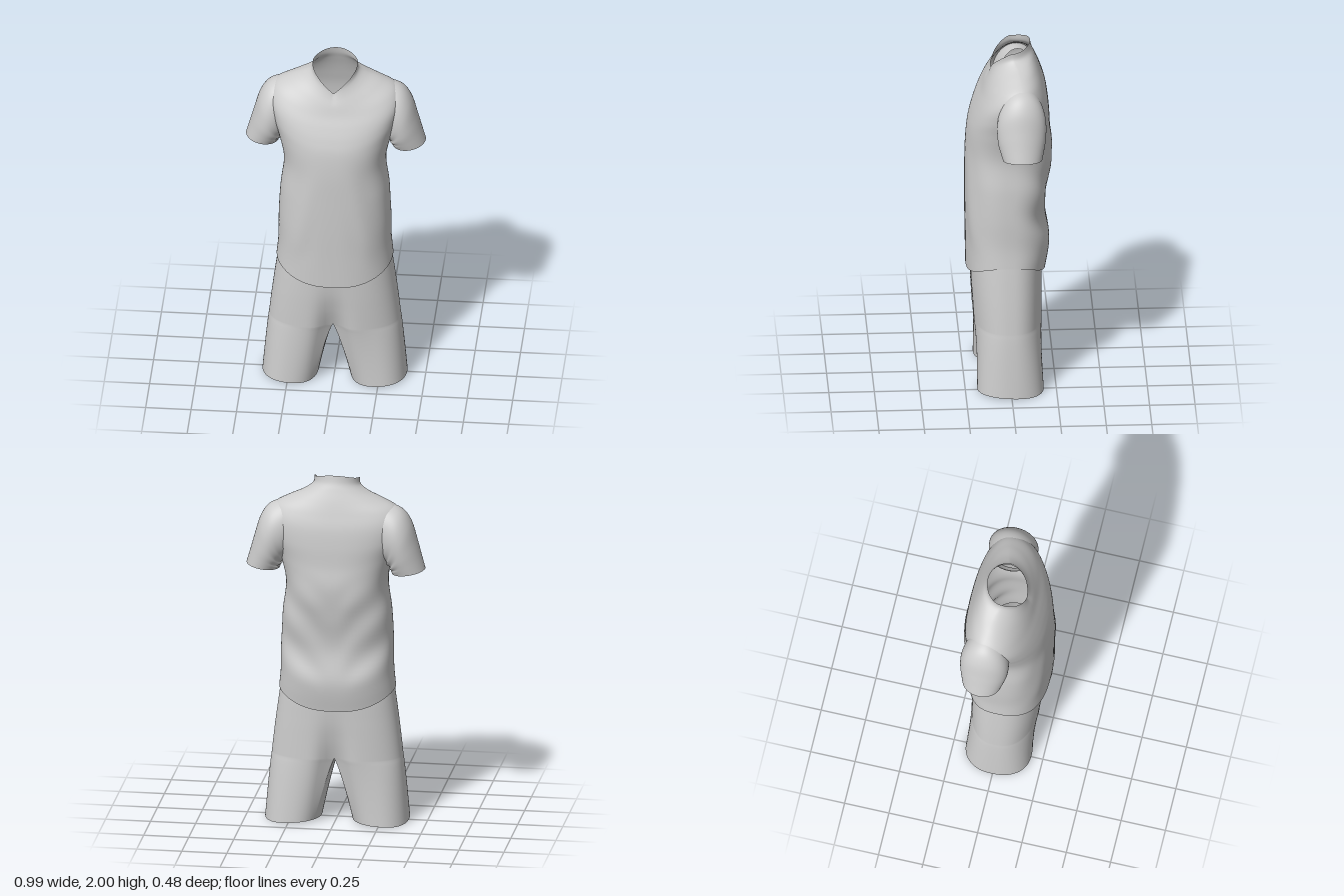
import * as THREE from 'three';
import { mergeGeometries, mergeVertices } from 'three/addons/utils/BufferGeometryUtils.js';

const N = 96; // points around each ring
const lerp = THREE.MathUtils.lerp;
const smooth = THREE.MathUtils.smoothstep;
const spow = (v, e) => Math.sign(v) * Math.pow(Math.abs(v), e);
const angles = Array.from({ length: N }, (_, j) => (j / N) * Math.PI * 2);

// Smoothly interpolate a short list of key rows into n + 1 rows
function sampleKeys(keys, n) {
  const out = [];
  for (let i = 0; i <= n; i++) {
    const u = (i / n) * (keys.length - 1);
    const k = Math.min(Math.floor(u), keys.length - 2);
    const t = u - k;
    const at = (q) => keys[THREE.MathUtils.clamp(q, 0, keys.length - 1)];
    out.push(keys[k].map((b, c) => {
      const a = at(k - 1)[c], d = at(k + 1)[c], e = at(k + 2)[c];
      return b + 0.5 * t * (d - a + t * (2 * a - 5 * b + 4 * d - e + t * (3 * (b - d) + e - a)));
    }));
  }
  return out;
}

// Skin closed rings, listed from the bottom up; rings start at the front and run towards +x
function loft(rings) {
  const pos = [], index = [];
  rings.forEach((r) => r.forEach((p) => pos.push(p[0], p[1], p[2])));
  for (let i = 0; i < rings.length - 1; i++) {
    for (let j = 0; j < N; j++) {
      const a = i * N + j, b = i * N + ((j + 1) % N);
      index.push(a, b, a + N, b, b + N, a + N);
    }
  }
  const g = new THREE.BufferGeometry();
  g.setAttribute('position', new THREE.Float32BufferAttribute(pos, 3));
  g.setIndex(index);
  g.computeVertexNormals();
  return g;
}

// Soft cloth folds on the shirt, as an offset in z
function folds(x, y, z) {
  const ax = Math.abs(x);
  const low = smooth(y, 0.76, 0.95) * (1 - smooth(y, 1.25, 1.5));
  if (z < 0) return 0.006 * low * smooth(ax, 0, 0.12) * Math.sin(24 * (y - 0.9 * ax) + 1);
  return 0.004 * low * Math.sin(30 * (ax + 0.3 * y)) * smooth(ax, 0.05, 0.2);
}

// Shirt body: half width, front z, back z, side z, front y, back y, side y, V amount, squareness
const bodyKeys = [
  [0.32, 0.238, -0.2, 0, 0.665, 0.665, 0.757, 0, 2.5],
  [0.31, 0.24, -0.222, 0, 0.83, 0.83, 0.87, 0, 2.5],
  [0.308, 0.243, -0.195, 0, 1.02, 1.02, 1.03, 0, 2.5],
  [0.298, 0.243, -0.219, 0, 1.2, 1.2, 1.2, 0, 2.45],
  [0.28, 0.24, -0.238, -0.01, 1.37, 1.37, 1.38, 0, 2.4],
  [0.315, 0.228, -0.226, -0.03, 1.5, 1.5, 1.54, 0, 2.4],
  [0.35, 0.207, -0.22, -0.05, 1.58, 1.61, 1.65, 0, 2.45],
  [0.365, 0.18, -0.208, -0.055, 1.65, 1.71, 1.745, 0, 2.4],
  [0.337, 0.153, -0.187, -0.055, 1.71, 1.79, 1.816, 0.1, 2.2],
  [0.26, 0.132, -0.165, -0.05, 1.765, 1.86, 1.862, 0.3, 2],
  [0.18, 0.115, -0.142, -0.04, 1.8, 1.92, 1.898, 0.7, 2],
  [0.132, 0.105, -0.126, -0.02, 1.82, 1.96, 1.93, 1, 2],
  [0.124, 0.1, -0.117, -0.015, 1.833, 2, 1.97, 1, 2],
];

function shirtBody() {
  return loft(sampleKeys(bodyKeys, 84).map(([w, zf, zb, zc, yf, yb, ys, v, p]) =>
    angles.map((a) => {
      const s = Math.sin(a), c = Math.cos(a);
      const x = w * spow(s, 2 / p);
      const z = zc + (c > 0 ? zf - zc : zc - zb) * spow(c, 2 / p);
      const toFront = Math.max(0, 1 - Math.min(a, 2 * Math.PI - a) / (Math.PI / 2));
      const y = c > 0 ? lerp(ys, yf, lerp(c * c, Math.pow(toFront, 1.25), v)) : lerp(ys, yb, c * c);
      return [x, y, z + folds(x, y, z)];
    })));
}

// Sleeve: outer x, outer y, inner x, inner y, front z, back z
const sleeveKeys = [
  [0.495, 1.47, 0.312, 1.442, 0.05, -0.165],
  [0.475, 1.54, 0.309, 1.452, 0.062, -0.174],
  [0.45, 1.63, 0.304, 1.465, 0.075, -0.184],
  [0.418, 1.735, 0.292, 1.485, 0.08, -0.19],
  [0.37, 1.804, 0.275, 1.505, 0.075, -0.188],
  [0.3, 1.834, 0.25, 1.53, 0.06, -0.175],
  [0.22, 1.84, 0.22, 1.57, 0.03, -0.15],
];

function sleeve(side) {
  return loft(sampleKeys(sleeveKeys, 36).map(([ox, oy, ix, iy, zf, zb], i) =>
    angles.map((a) => {
      const s = Math.sin(a * side), c = Math.cos(a), t = (s + 1) / 2;
      // small creases in the armpit
      const crease = 0.005 * Math.max(0, -s) * Math.sin(i * 0.9) * smooth(i, 3, 9);
      return [side * (lerp(ix, ox, t) + crease), lerp(iy, oy, t), (zf + zb) / 2 + ((zf - zb) / 2) * c];
    })));
}

// Shorts seat: half width, front z, back z, y, centre pinch
const crotchY = 0.37;
const seatKeys = [
  [0.362, 0.205, -0.182, crotchY, 0.34],
  [0.35, 0.211, -0.182, 0.48, 0.18],
  [0.335, 0.216, -0.182, 0.6, 0.06],
  [0.314, 0.218, -0.18, 0.75, 0],
  [0.29, 0.212, -0.165, 0.9, 0],
];

function seatRing([w, zf, zb, y, pinch]) {
  return angles.map((a) => {
    const s = Math.sin(a), c = Math.cos(a);
    const x = Math.abs(s) < 1e-9 ? 0 : w * spow(s, 0.8);
    const z = (c > 0 ? zf : -zb) * spow(c, 0.8);
    return [x, y, z * (1 - pinch * Math.exp(-((x / 0.07) ** 2)))];
  });
}

// Leg: the half ring under the seat opens out into a rounded hem.
// The seat's half wraps most of the hem, the crotch wall only the inner arc.
function leg(side) {
  const top = seatRing(seatKeys[0]);
  const zFront = top[0][2], zBack = top[N / 2][2];
  const wrap = 0.95; // how far the outer cloth reaches round the inner thigh, in radians
  const rings = [];
  for (let i = 0; i <= 30; i++) {
    const t = 1 - i / 30, blend = Math.pow(t, 0.85);
    const ring = angles.map((a, j) => {
      const outer = j <= N / 2;
      const from = outer ? top[j] : [0, crotchY, lerp(zBack, zFront, (Math.cos(a) + 1) / 2)];
      const h = outer
        ? lerp(-wrap, Math.PI + wrap, a / Math.PI)
        : lerp(Math.PI + wrap, 2 * Math.PI - wrap, a / Math.PI - 1);
      const hemX = 0.243 + 0.155 * spow(Math.sin(h), 0.87);
      const hemZ = 0.002 + 0.183 * spow(Math.cos(h), 0.87);
      const hemY = 0.006 + 0.006 * Math.sin(2 * h);
      return [side * lerp(from[0], hemX, blend), lerp(crotchY, hemY, t), lerp(from[2], hemZ, blend)];
    });
    // reverse the mirrored ring so its faces still point outwards
    rings.push(side > 0 ? ring : ring.map((_, j) => ring[(N - j) % N]));
  }
  return loft(rings);
}

function shorts() {
  const seat = loft(sampleKeys(seatKeys, 36).map(seatRing));
  const g = mergeGeometries([seat, leg(1), leg(-1)]);
  g.deleteAttribute('normal');
  const welded = mergeVertices(g, 1e-4);
  welded.computeVertexNormals();
  return welded;
}

export function createModel() {
  const fabric = new THREE.MeshStandardMaterial({ color: 0xcccccc, side: THREE.DoubleSide });
  fabric.name = 'grey fabric';
  const model = new THREE.Group();
  model.name = 'sportsOutfit';
  const add = (name, geometry) => {
    const mesh = new THREE.Mesh(geometry, fabric);
    mesh.name = name;
    model.add(mesh);
  };
  add('shirtBody', shirtBody());
  add('leftSleeve', sleeve(1));
  add('rightSleeve', sleeve(-1));
  add('shorts', shorts());
  return model;
}
